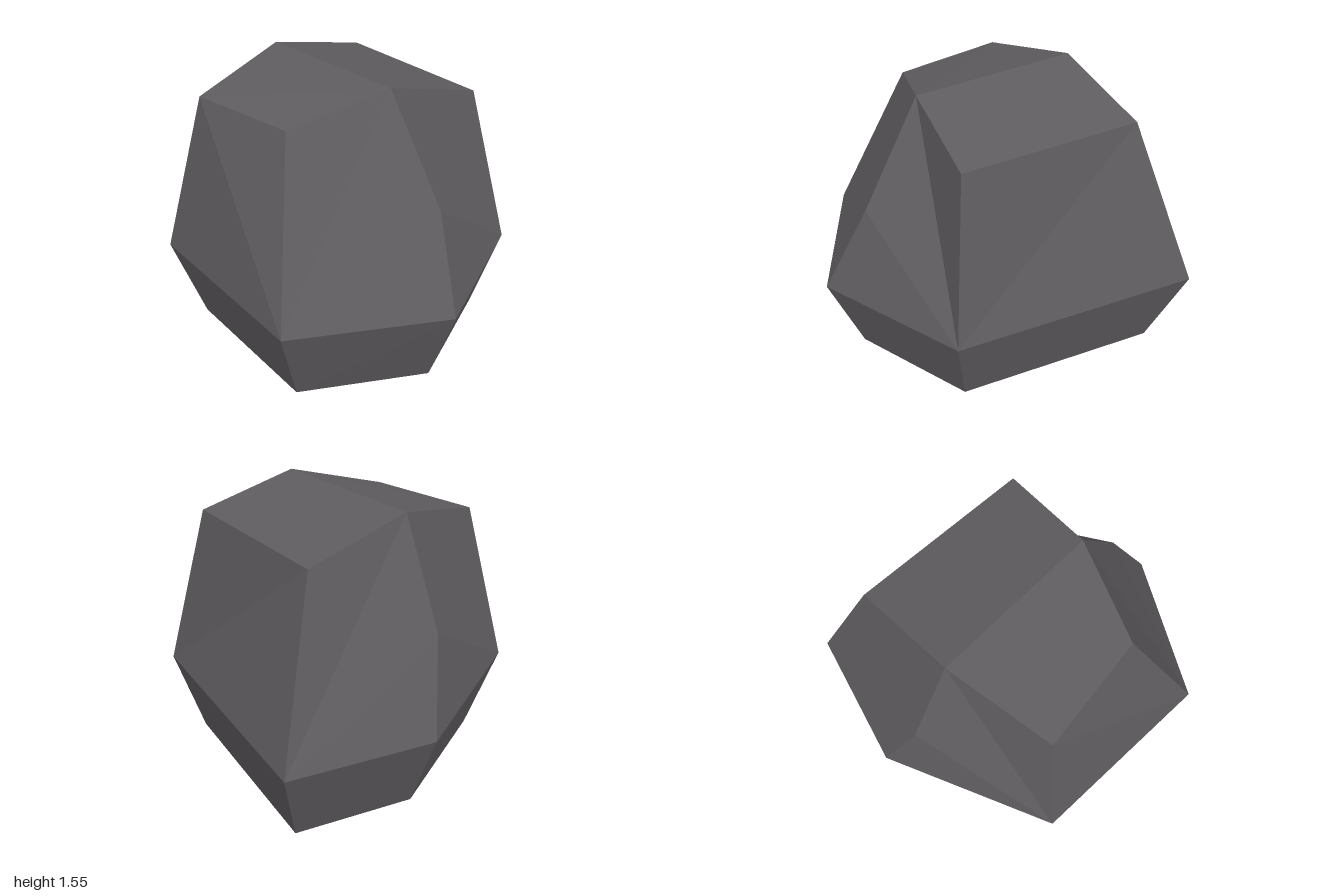
import * as THREE from 'three';

// Faceted boulder: a tapered hexagonal base, a wide waist and a ridged crown.
export function createModel() {
  const stone = new THREE.MeshStandardMaterial({ color: 0x5f5c5f, flatShading: true });
  stone.name = 'stone grey';

  const ring = (y, points) => points.map(([x, z]) => [x, y, z]);
  // Rings run front right, front left, left, back left, back right, right
  const base = ring(0, [[-0.45, 0.72], [0.49, 0.72], [0.82, 0.06], [0.49, -0.6], [-0.67, -0.72], [-0.82, -0.06]]);
  const waist = ring(0.485, [[-0.545, 0.87], [0.59, 0.87], [1, 0.07], [0.59, -0.73], [-0.81, -0.87], [-1, -0.07]]);
  const [m0, m1, m2, m3, m4, m5] = waist;

  // Shoulders, crown corners and ridge ends (A on the -x side, B on the +x side)
  const shoulderA = [-0.82, 0.98, 0.07], shoulderB = [0.76, 0.98, -0.02];
  const frontA = [-0.4, 1.41, 0.67], frontB = [0.25, 1.41, 0.565];
  const backA = [-0.57, 1.41, -0.55], backB = [0.45, 1.41, -0.535];
  const ridgeA = [-0.545, 1.55, 0.07], ridgeB = [0.41, 1.55, 0.03];

  // Each facet is split as a fan around its first corner
  const facets = [
    [...base].reverse(),
    ...base.map((p, i) => [p, base[(i + 1) % 6], waist[(i + 1) % 6], waist[i]]),
    [m1, frontB, frontA, m0],
    [m1, m2, shoulderB, ridgeB, frontB],
    [m3, backB, ridgeB, shoulderB, m2],
    [m3, m4, backA, backB],
    [m4, m5, shoulderA, ridgeA, backA],
    [m0, frontA, ridgeA, shoulderA, m5],
    [frontA, frontB, ridgeB, ridgeA],
    [ridgeA, ridgeB, backB, backA],
  ];
  const positions = [];
  for (const f of facets) {
    for (let i = 1; i < f.length - 1; i++) positions.push(...f[0], ...f[i], ...f[i + 1]);
  }

  const geometry = new THREE.BufferGeometry();
  geometry.setAttribute('position', new THREE.Float32BufferAttribute(positions, 3));
  geometry.computeVertexNormals();

  const rock = new THREE.Mesh(geometry, stone);
  rock.name = 'rock';
  const model = new THREE.Group();
  model.name = 'boulder';
  model.add(rock);
  return model;
}
